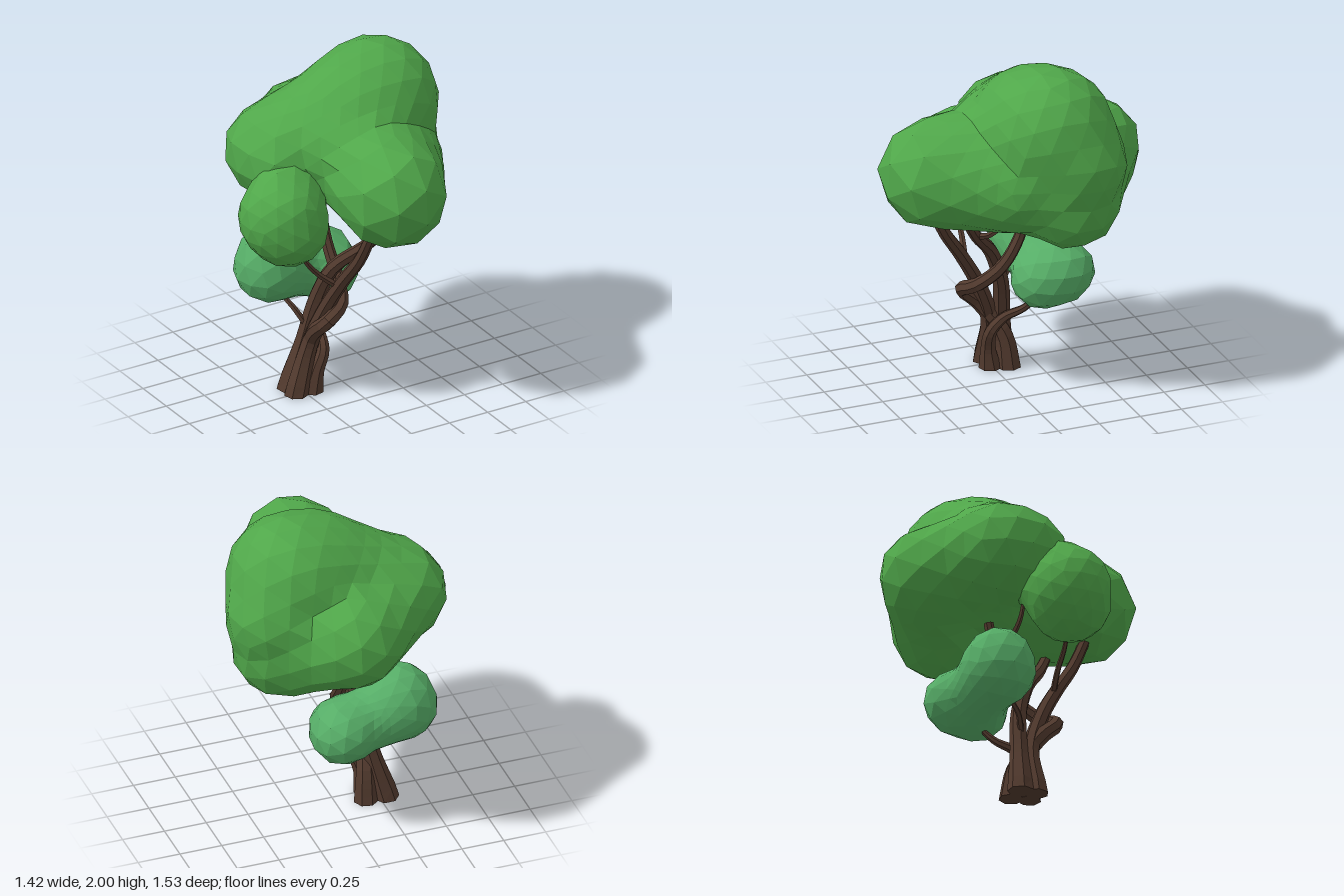
import * as THREE from 'three';

const V = (p) => new THREE.Vector3(...p);
const mat = (color) => new THREE.MeshStandardMaterial({ color, flatShading: true });

// Blended distance to a set of tapered capsules, each [pointA, radiusA, pointB, radiusB]
function distance(p, lobes) {
  let d = Infinity;
  for (const [a, ra, b, rb] of lobes) {
    const ab = b.clone().sub(a);
    const t = THREE.MathUtils.clamp(p.clone().sub(a).dot(ab) / Math.max(ab.lengthSq(), 1e-6), 0, 1);
    const e = p.distanceTo(ab.multiplyScalar(t).add(a)) - (ra + (rb - ra) * t);
    const k = 0.05;
    const h = d === Infinity ? 0 : Math.max(k - Math.abs(d - e), 0) / k;
    d = Math.min(d, e) - h * h * k * 0.25;
  }
  return d;
}

// Faceted foliage: a sphere shrunk from outside onto the lobes
function foliage(name, material, centre, detail, lobes) {
  const c = V(centre);
  const parts = lobes.map(([a, ra, b = a, rb = ra]) => [V(a), ra, V(b), rb]);
  const geo = new THREE.IcosahedronGeometry(1, detail);
  const pos = geo.attributes.position;
  const dir = new THREE.Vector3(), p = new THREE.Vector3();
  for (let i = 0; i < pos.count; i++) {
    dir.fromBufferAttribute(pos, i).normalize();
    let r = 1.3;
    for (let s = 0; s < 80 && r > 0.02; s++) {
      const d = distance(p.copy(c).addScaledVector(dir, r), parts);
      if (d < 0.001) break;
      r -= d * 0.9;
    }
    p.copy(c).addScaledVector(dir, r);
    pos.setXYZ(i, p.x, p.y, p.z);
  }
  geo.computeVertexNormals();
  const mesh = new THREE.Mesh(geo, material);
  mesh.name = name;
  return mesh;
}

// Tapered closed tube along a curve; roots flare and sit flat on the ground
function stem(name, material, points, r0, r1, sides = 7) {
  const curve = new THREE.CatmullRomCurve3(points.map(V));
  const n = points.length * 4;
  const geo = new THREE.TubeGeometry(curve, n, 1, sides);
  const { position: pos, normal } = geo.attributes;
  const isRoot = points[0][1] === 0;
  for (let i = 0; i < pos.count; i++) {
    const ring = Math.floor(i / (sides + 1));
    const t = THREE.MathUtils.clamp((ring - 1) / (n - 2), 0, 1);
    const flare = isRoot ? 1 + 0.3 * Math.max(0, 1 - t * 5) : 1;
    const r = ring === 0 || ring === n ? 0 : (r0 + (r1 - r0) * t) * flare;
    const p = curve.getPointAt(t).addScaledVector(new THREE.Vector3().fromBufferAttribute(normal, i), r);
    if (isRoot && ring < 2) p.y = 0;
    pos.setXYZ(i, p.x, Math.max(p.y, 0), p.z);
  }
  geo.computeVertexNormals();
  const mesh = new THREE.Mesh(geo, material);
  mesh.name = name;
  return mesh;
}

export function createModel() {
  const tree = new THREE.Group();
  tree.name = 'tree';
  const leaf = mat(0x50a74a), bushLeaf = mat(0x56ad67), bark = mat(0x523a2e);

  // Main crown
  const top = [0.3, 1.64, -0.14], topInner = [0.16, 1.59, -0.11], low = [0.38, 1.245, -0.23];
  const back = [0.05, 1.375, -0.49], front = [0.05, 1.38, 0.46];
  const sideBack = [-0.31, 1.45, -0.23], sideFront = [-0.33, 1.45, -0.1];
  tree.add(foliage('crown', leaf, [0.1, 1.4, -0.08], 4, [
    [top, 0.355, topInner, 0.36],
    [topInner, 0.36, sideBack, 0.265],
    [topInner, 0.36, sideFront, 0.25],
    [top, 0.35, low, 0.28],
    [[0.43, 1.48, -0.25], 0.285],
    [sideBack, 0.265, back, 0.275],
    [back, 0.275, low, 0.28],
    [front, 0.305, [0.3, 1.34, 0.06], 0.28],
    [front, 0.305, [0.08, 1.44, -0.05], 0.32],
    [[-0.06, 1.51, 0.06], 0.25, [0.17, 1.53, 0.03], 0.27],
  ]));

  // Smaller clump on the right of the crown
  tree.add(foliage('sideClump', leaf, [-0.44, 1.22, 0.12], 2, [
    [[-0.47, 1.2, 0.12], 0.24, [-0.44, 1.16, 0.14], 0.235],
    [[-0.46, 1.27, 0.11], 0.225, [-0.42, 1.36, 0.06], 0.17],
    [[-0.44, 1.25, 0.1], 0.22, [-0.3, 1.34, 0], 0.18],
  ]));

  // Two-lobed low bush behind the trunk
  tree.add(foliage('lowBush', bushLeaf, [-0.14, 0.67, -0.26], 3, [
    [[-0.33, 0.71, -0.24], 0.195, [-0.31, 0.755, -0.24], 0.2],
    [[0.03, 0.6, -0.2], 0.17, [0.055, 0.64, -0.33], 0.177],
    [[-0.33, 0.7, -0.25], 0.19, [0.04, 0.63, -0.27], 0.175],
  ]));

  // Trunk of intertwined stems
  const trunk = new THREE.Group();
  trunk.name = 'trunk';
  const stems = [
    ['frontStem', [[-0.3, 0, 0], [-0.22, 0.3, 0.01], [-0.17, 0.55, 0.1], [-0.13, 0.76, 0.22], [-0.09, 0.94, 0.34], [-0.06, 1.2, 0.46]], 0.056, 0.03],
    ['leftStem', [[-0.29, 0, -0.09], [-0.21, 0.3, -0.06], [-0.15, 0.55, -0.03], [-0.09, 0.76, 0.05], [0.05, 0.94, 0.2], [0.2, 1.15, 0.34]], 0.06, 0.028],
    ['twistingStem', [[-0.17, 0, -0.09], [-0.18, 0.2, -0.06], [-0.22, 0.4, 0.07], [-0.2, 0.51, 0.18], [-0.09, 0.57, 0.14], [-0.04, 0.68, 0.01], [-0.04, 0.85, -0.1], [-0.05, 1.12, -0.17]], 0.055, 0.028],
    ['curlingRoot', [[-0.2, 0, 0.01], [-0.18, 0.14, 0.03], [-0.14, 0.25, 0.03], [-0.12, 0.33, -0.04], [-0.07, 0.39, -0.14], [-0.01, 0.5, -0.23]], 0.052, 0.012],
  ];
  for (const [name, pts, r0, r1] of stems) trunk.add(stem(name, bark, pts, r0, r1));
  tree.add(trunk);

  // Thin side branches
  const twigs = [
    [[-0.14, 0.72, 0.19], [-0.26, 0.82, 0.16], [-0.34, 0.92, 0.16], [-0.4, 1.05, 0.15]],
    [[-0.06, 0.97, -0.13], [-0.16, 1.02, -0.08], [-0.22, 1.1, -0.06], [-0.25, 1.22, -0.05]],
    [[0.05, 0.94, 0.2], [0.16, 0.99, 0.16], [0.22, 1.06, 0.13], [0.24, 1.18, 0.12]],
    [[-0.2, 0.38, -0.04], [-0.26, 0.49, -0.09], [-0.29, 0.55, -0.15], [-0.31, 0.65, -0.2]],
  ];
  twigs.forEach((pts, i) => tree.add(stem('twig' + (i + 1), bark, pts, 0.02, 0.011, 5)));

  return tree;
}
